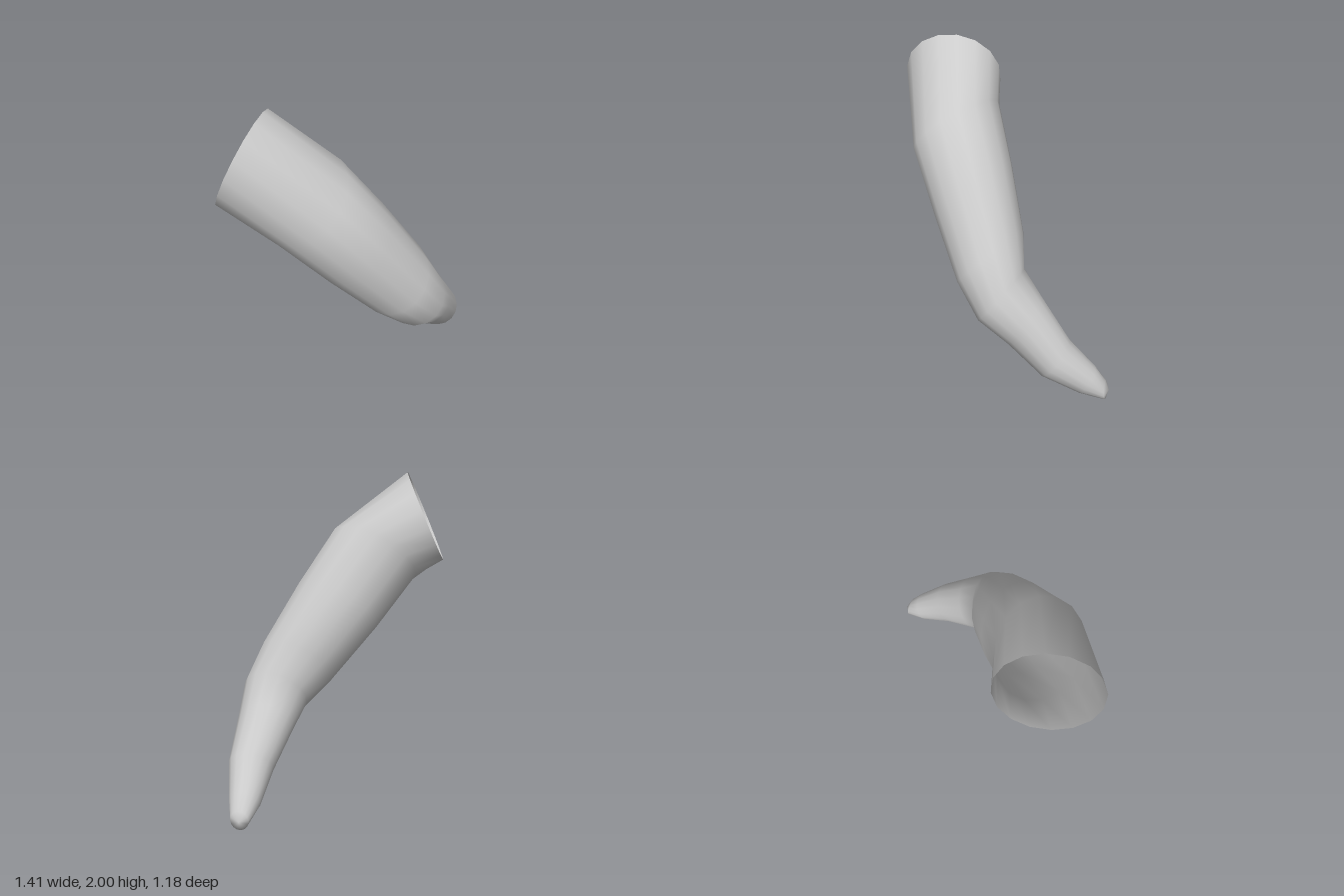
import * as THREE from 'three';

// Cross-sections from the open mouth to the tip: centre, radius, facing direction
const RINGS = [
  [[-0.575, 1.72, 0.29], 0.306, [0.90, -0.40, 0.15]],
  [[-0.24, 1.472, 0.285], 0.305, [0.51, -0.735, -0.445]],
  [[0.015, 1.14, 0.195], 0.29, [0.49, -0.68, -0.546]],
  [[0.27, 0.81, 0.11], 0.253, [0.457, -0.685, -0.57]],
  [[0.41, 0.628, 0.055], 0.21, [0.35, -0.60, -0.715]],
  [[0.475, 0.483, -0.08], 0.178, [0.217, -0.55, -0.81]],
  [[0.572, 0.267, -0.26], 0.14, [0.2, -0.6, -0.77]],
  [[0.612, 0.12, -0.455], 0.096, [0.2, -0.5, -0.84]],
  [[0.642, 0.055, -0.567], 0.058, [0.35, 0.1, -0.93]],
];
const SIDES = 16;

// Skin the rings and close the tip with a fan
function hornGeometry() {
  const positions = [], index = [];
  const reference = new THREE.Vector3(0.8, 0.6, 0);
  for (const [centre, radius, facing] of RINGS) {
    const c = new THREE.Vector3(...centre);
    const n = new THREE.Vector3(...facing).normalize();
    const u = reference.clone().addScaledVector(n, -reference.dot(n)).normalize();
    const v = new THREE.Vector3().crossVectors(n, u);
    for (let i = 0; i < SIDES; i++) {
      const a = (i / SIDES) * Math.PI * 2;
      const p = c.clone()
        .addScaledVector(u, radius * Math.cos(a))
        .addScaledVector(v, radius * Math.sin(a));
      positions.push(p.x, p.y, p.z);
    }
  }
  for (let r = 0; r < RINGS.length - 1; r++) {
    for (let i = 0; i < SIDES; i++) {
      const j = (i + 1) % SIDES;
      const a = r * SIDES + i, b = r * SIDES + j;
      index.push(a, b, b + SIDES, a, b + SIDES, a + SIDES);
    }
  }
  const last = (RINGS.length - 1) * SIDES, tip = RINGS.length * SIDES;
  positions.push(0.645, 0.055, -0.588);
  for (let i = 0; i < SIDES; i++) index.push(last + i, last + ((i + 1) % SIDES), tip);

  const geometry = new THREE.BufferGeometry();
  geometry.setAttribute('position', new THREE.Float32BufferAttribute(positions, 3));
  geometry.setIndex(index);
  geometry.computeVertexNormals();
  return geometry;
}

export function createModel() {
  const group = new THREE.Group();
  group.name = 'curvedHorn';
  // Hollow shell, so the inside shows through the mouth
  const material = new THREE.MeshStandardMaterial({ color: 0xcccccc, side: THREE.DoubleSide });
  const horn = new THREE.Mesh(hornGeometry(), material);
  horn.name = 'hornShell';
  group.add(horn);
  return group;
}
